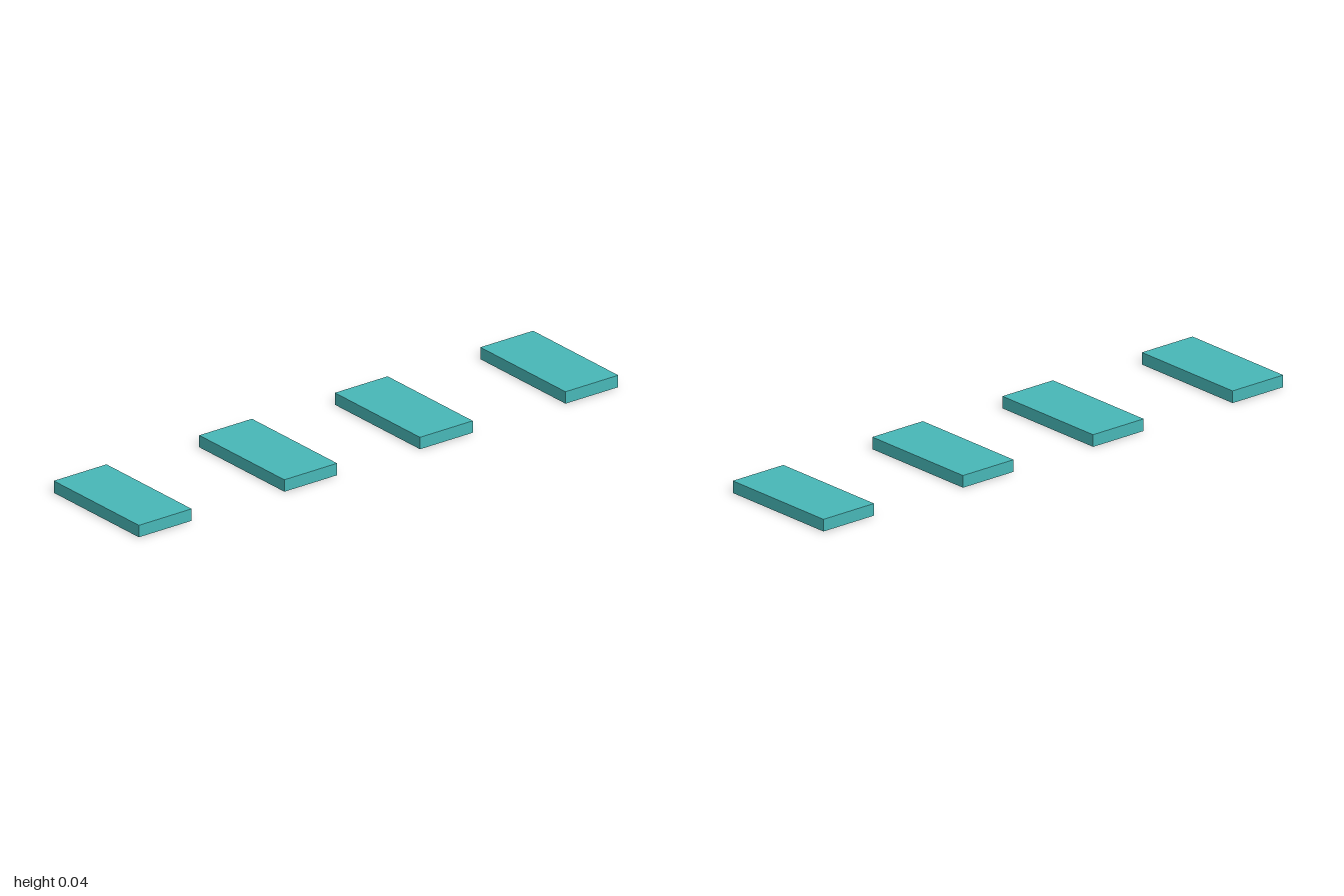
import * as THREE from 'three';

const WIDTH = 0.459, HEIGHT = 0.043, DEPTH = 0.22;

export function createModel() {
  const group = new THREE.Group();
  const material = new THREE.MeshStandardMaterial({ color: 0x48b8b8, flatShading: true });
  const geometry = new THREE.BoxGeometry(WIDTH, HEIGHT, DEPTH);

  // Row of four flat slabs, mirrored front to back
  [0.89, 0.283, -0.283, -0.89].forEach((z, i) => {
    const slab = new THREE.Mesh(geometry, material);
    slab.name = `slab${i + 1}`;
    slab.position.set(0, HEIGHT / 2, z);
    group.add(slab);
  });

  return group;
}
